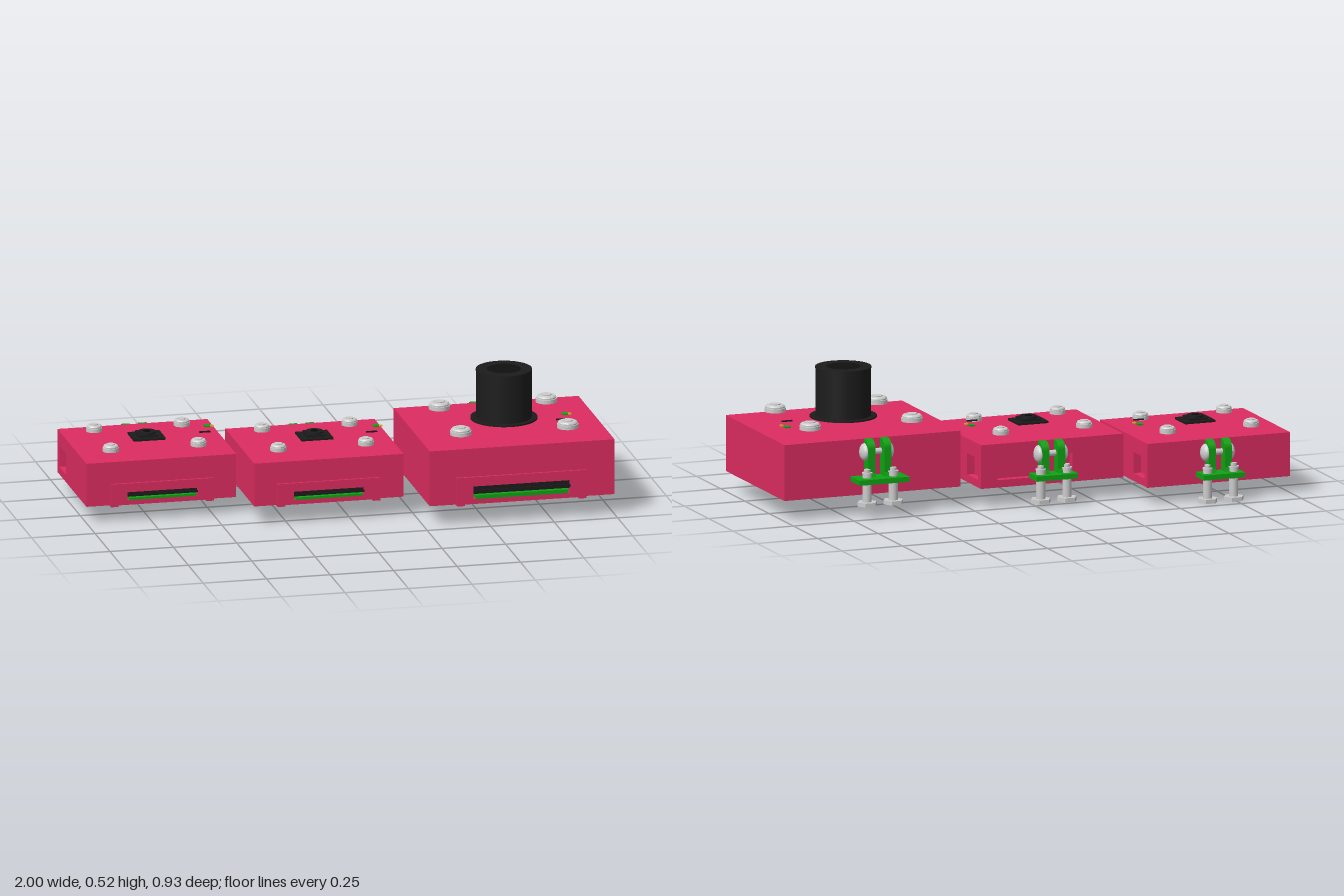
import * as THREE from 'three';

const mat = (color, rest = {}) => new THREE.MeshStandardMaterial({ color, ...rest });
const PINK = mat(0xdc2c60);
const GREEN = mat(0x10a314);
const BLACK = mat(0x1c1c1c);
const YELLOW = mat(0xd8b020);
const STEEL = mat(0xcccccc);

function add(parent, name, geometry, material, x = 0, y = 0, z = 0) {
  const mesh = new THREE.Mesh(geometry, material);
  mesh.name = name;
  mesh.position.set(x, y, z);
  parent.add(mesh);
  return mesh;
}

const box = (w, h, d) => new THREE.BoxGeometry(w, h, d);
const cyl = (r, h, n = 32) => new THREE.CylinderGeometry(r, r, h, n);

// Rectangular plate in the XY plane, extruded along +z, with an optional window [x0, x1, y0, y1]
function plate(x0, x1, y0, y1, t, hole) {
  const rect = (S, a, b, c, d) => new S([[a, c], [b, c], [b, d], [a, d]].map(p => new THREE.Vector2(...p)));
  const shape = rect(THREE.Shape, x0, x1, y0, y1);
  if (hole) shape.holes.push(rect(THREE.Path, ...hole));
  return new THREE.ExtrudeGeometry(shape, { depth: t, bevelEnabled: false });
}

// Closed case: solid core behind four walls, some with windows
function makeCase(u) {
  const g = new THREE.Group();
  g.name = 'case';
  const [x0, x1] = u.x, [y0, y1] = u.y, [z0, z1] = u.z, t = 0.03;
  const [sx0, sx1, sy0, sy1] = u.slot;
  add(g, 'caseCore', box(x1 - x0 - 2 * t, y1 - y0, z1 - z0 - 2 * t), PINK,
    (x0 + x1) / 2, (y0 + y1) / 2, (z0 + z1) / 2);
  add(g, 'frontWall', plate(x0 + t, x1 - t, y0, y1, t, u.slot), PINK, 0, 0, z1 - t);
  add(g, 'backWall', plate(x0 + t, x1 - t, y0, y1, t, u.backWindow), PINK, 0, 0, z0);
  // plate x becomes -z after the quarter turn
  const w = u.sideWindow && [-u.sideWindow[1], -u.sideWindow[0], u.sideWindow[2], u.sideWindow[3]];
  for (const x of [x0, x1 - t])
    add(g, 'sideWall', plate(-z1, -z0, y0, y1, t, w), PINK, x).rotation.y = Math.PI / 2;

  // Raised surround with two small latch feet, and the connector in its slot
  const m = 0.065, lip = 0.009;
  add(g, 'slotSurround', plate(sx0 - m, sx1 + m, y0, u.lipTop, lip, u.slot), PINK, 0, 0, z1);
  for (const x of [sx0 - m + 0.015, sx1 + m - 0.015])
    add(g, 'latchFoot', box(0.03, 0.012, 0.03), PINK, x, y0, z1 - 0.006);
  const cx = (sx0 + sx1) / 2, w2 = sx1 - sx0, h = sy1 - sy0;
  add(g, 'connector', box(w2, h * 0.65, 0.03), BLACK, cx, sy1 - h * 0.325, z1 - 0.014);
  add(g, 'connectorLatch', box(w2, h * 0.25, 0.004), BLACK, cx, sy1 - h * 0.4, z1 + 0.014);
  add(g, 'boardEdge', box(w2 * 0.96, h * 0.3, 0.046), GREEN, cx, sy0 + h * 0.18, z1 - 0.006);
  return g;
}

// Pan-head screw with washer, standing on y = 0
function makeScrew(r, h) {
  const pts = [[0, 0], [r, 0], [r, 0.5], [r * 0.93, 0.52], [r * 0.93, 0.68], [r * 0.82, 0.84], [r * 0.5, 0.9], [r * 0.5, 1], [0, 1]];
  const g = new THREE.LatheGeometry(pts.map(p => new THREE.Vector2(p[0], p[1] * h)), 32);
  return g.toNonIndexed();
}

// Hinge bracket: base plate, two round-topped ears, pivot heads and two hanging bolts
function makeBracket(b) {
  const g = new THREE.Group();
  g.name = 'bracket';
  const base = b.plateY, top = b.earTop - base, d = b.earDepth, r = 0.034;
  add(g, 'bracketPlate', box(b.width, 0.02, b.depth), GREEN, 0, base - 0.01, -b.depth / 2);
  const ear = new THREE.Shape();
  ear.moveTo(0, -0.01);
  ear.lineTo(d + 0.008, -0.01);
  ear.lineTo(d, 0.015);
  ear.lineTo(d, top - r);
  ear.absarc(d - r, top - r, r, 0, Math.PI / 2, false);
  ear.lineTo(0, top);
  const earGeo = new THREE.ExtrudeGeometry(ear, { depth: 0.03, bevelEnabled: false, curveSegments: 10 });
  earGeo.rotateY(Math.PI / 2).translate(-0.015, 0, 0);
  const pivotY = b.earTop - 0.05;
  for (const s of [-1, 1]) {
    add(g, 'bracketEar', earGeo, GREEN, s * 0.033, base, 0);
    const head = new THREE.SphereGeometry(0.034, 24, 8, 0, Math.PI * 2, 0, Math.PI / 2).scale(1, 0.6, 1);
    add(g, 'pivotHead', head, STEEL, s * 0.048, pivotY, -0.01).rotation.z = -s * Math.PI / 2;
    const z = -b.boltZ, tip = base + 0.015;
    add(g, 'boltHead', cyl(0.04, 0.016, 6), mat(0xcccccc, { flatShading: true }), s * 0.054, b.boltY + 0.008, z)
      .rotation.y = Math.PI / 6;
    add(g, 'boltShaft', cyl(0.0175, tip - b.boltY), STEEL, s * 0.054, (tip + b.boltY) / 2, z);
    add(g, 'boltTip', cyl(0.02, 0.006), STEEL, s * 0.054, tip + 0.003, z);
    add(g, 'boltEnd', cyl(0.012, 0.012), STEEL, s * 0.054, tip + 0.012, z);
  }
  add(g, 'pivotPin', cyl(0.012, 0.08, 16), STEEL, 0, pivotY, -0.012).rotation.z = Math.PI / 2;
  return g;
}

// Small square camera
function makeSmallCamera() {
  const g = new THREE.Group();
  g.name = 'smallCamera';
  add(g, 'cameraBase', box(0.125, 0.008, 0.108), BLACK, 0, 0.004, 0);
  add(g, 'cameraBody', box(0.075, 0.012, 0.075), BLACK, 0, 0.012, 0);
  add(g, 'cameraLens', cyl(0.034, 0.007), BLACK, 0, 0.0205, 0);
  add(g, 'lensGlass', cyl(0.014, 0.002), mat(0x080808), 0, 0.0245, 0);
  return g;
}

// Large lens barrel on a thin flange
function makeLens() {
  const g = new THREE.Group();
  g.name = 'largeLens';
  add(g, 'lensFlange', cyl(0.129, 0.006, 64), BLACK, 0, 0.003, 0);
  add(g, 'lensBarrel', cyl(0.107, 0.19, 64), BLACK, 0, 0.1, 0);
  add(g, 'lensRim', cyl(0.108, 0.006, 64), BLACK, 0, 0.194, 0);
  const dome = new THREE.SphereGeometry(0.065, 32, 6, 0, Math.PI * 2, 0, Math.PI / 2).scale(1, 0.06, 1);
  add(g, 'lensGlass', dome, mat(0x101010), 0, 0.197, 0);
  return g;
}

const UNITS = [
  { name: 'rightUnit', x: [-1, -0.41], y: [0.065, 0.237], z: [-0.382, 0.105], lipTop: 0.15,
    slot: [-0.84, -0.565, 0.085, 0.115], sideWindow: [-0.35, -0.24, 0.095, 0.178],
    screws: { x: [-0.88, -0.535], z: [-0.278, 0.002], y: 0.251, r: 0.031, h: 0.029 },
    camera: [-0.707, 0.257, -0.133], led: [-0.458, 0.272, -0.18], bar: [-0.486, 0.272, -0.1],
    bracket: { x: -0.695, width: 0.17, depth: 0.082, plateY: 0.113, earTop: 0.237, earDepth: 0.041, boltZ: 0.043, boltY: 0 } },
  { name: 'middleUnit', x: [-0.38, 0.208], y: [0.075, 0.246], z: [-0.208, 0.28], lipTop: 0.16,
    slot: [-0.225, 0.05, 0.094, 0.126], sideWindow: [-0.175, -0.065, 0.104, 0.188], backWindow: [-0.17, 0.14, 0.104, 0.188],
    screws: { x: [-0.26, 0.085], z: [-0.104, 0.172], y: 0.261, r: 0.031, h: 0.029 },
    camera: [-0.088, 0.267, 0.043], led: [0.165, 0.282, -0.002], bar: [0.13, 0.282, 0.077],
    bracket: { x: -0.076, width: 0.17, depth: 0.08, plateY: 0.123, earTop: 0.246, earDepth: 0.041, boltZ: 0.042, boltY: 0.012 } },
  { name: 'leftUnit', x: [0.272, 1], y: [0.08, 0.299], z: [-0.158, 0.447], lipTop: 0.187,
    slot: [0.443, 0.822, 0.1, 0.15],
    screws: { x: [0.422, 0.843], z: [-0.03, 0.33], y: 0.324, r: 0.041, h: 0.031 },
    lens: [0.634, 0.324, 0.149], led: [0.885, 0.311, 0.103], bar: [0.852, 0.315, 0.187],
    bracket: { x: 0.624, width: 0.205, depth: 0.093, plateY: 0.156, earTop: 0.299, earDepth: 0.046, boltZ: 0.049, boltY: 0.046 } },
];

function makeUnit(u) {
  const g = new THREE.Group();
  g.name = u.name;
  g.add(makeCase(u));

  const bracket = makeBracket(u.bracket);
  bracket.position.set(u.bracket.x, 0, u.z[0]);
  g.add(bracket);

  const s = u.screws, screwGeo = makeScrew(s.r, s.h);
  screwGeo.computeVertexNormals();
  for (const x of s.x) for (const z of s.z) {
    add(g, 'topScrew', screwGeo, STEEL, x, s.y, z);
    add(g, 'screwUnderside', cyl(s.r * 0.99, 0.002), STEEL, x, s.y + 0.002, z);
  }

  const camera = u.lens ? makeLens() : makeSmallCamera();
  camera.position.set(...(u.lens || u.camera));
  g.add(camera);

  // Indicator parts above the lid
  const [lx, ly, lz] = u.led;
  add(g, 'greenIndicator', box(0.022, 0.005, 0.026), GREEN, lx, ly, lz);
  add(g, 'yellowIndicator', box(0.012, 0.005, 0.014), YELLOW, lx + 0.015, ly + 0.003, lz + 0.016);
  add(g, 'marker', box(0.043, 0.005, 0.006), BLACK, ...u.bar);
  return g;
}

export function createModel() {
  const model = new THREE.Group();
  model.name = 'cameraModules';
  for (const u of UNITS) model.add(makeUnit(u));
  return model;
}
